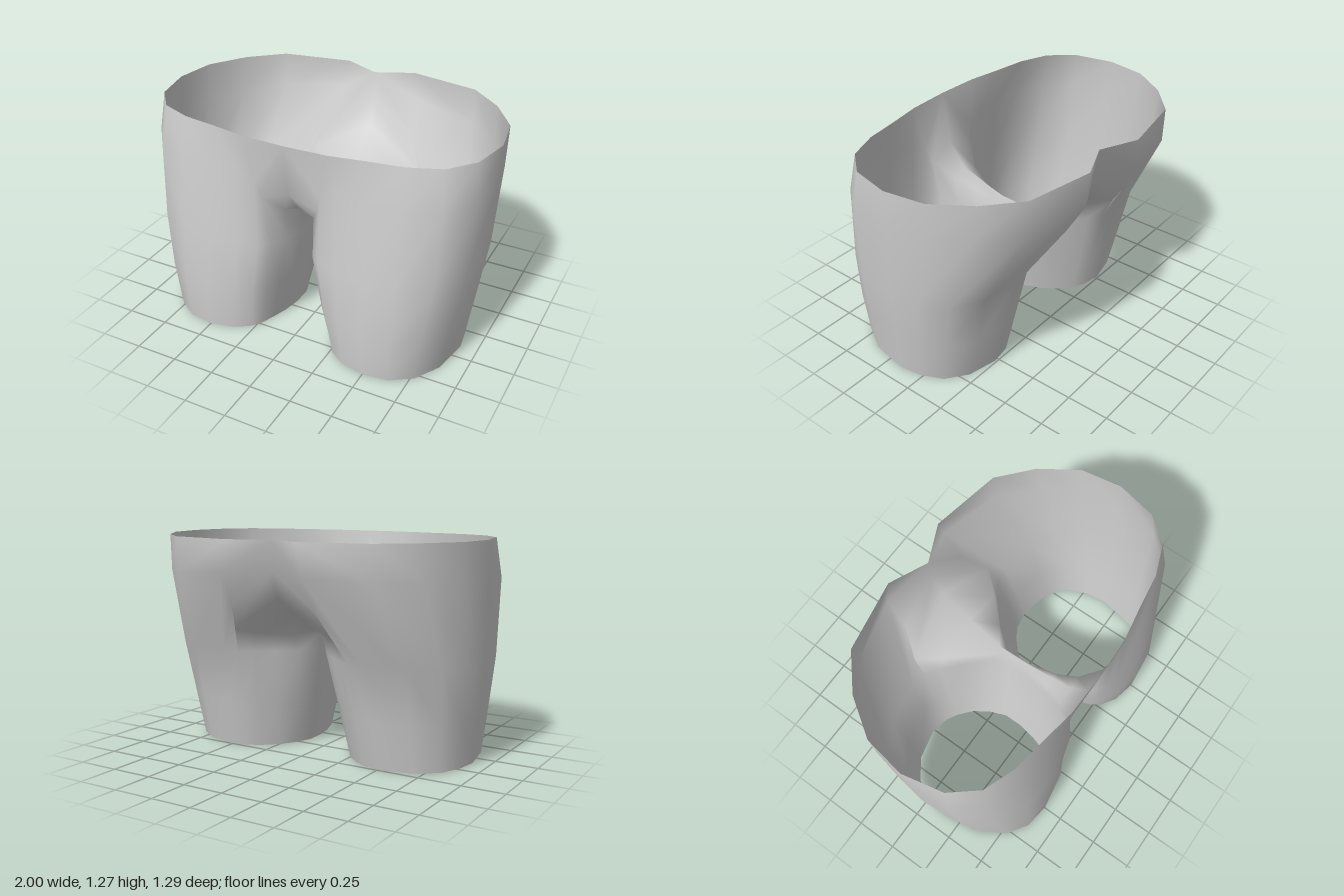
import * as THREE from 'three';
import { mergeVertices } from 'three/addons/utils/BufferGeometryUtils.js';

// Every ring runs front centre -> side -> back centre -> inner leg back to the front.
const WAIST = [[0, .575], [.25, .565], [.45, .53], [.65, .5], [.83, .43], [.95, .285], [1, .05],
  [.96, -.19], [.82, -.4], [.63, -.565], [.22, -.64], [0, -.54]];
// centre seam under the crotch, back to front: y, z
const SEAM = [[1.1, -.53], [.95, -.475], [.83, -.28], [.725, -.07], [.735, .13], [.78, .29], [.83, .43], [.96, .53]];
const HIP = [[.2, 1.0, .545], [.3, 1.05, .55], [.47, 1.05, .56], [.66, 1.05, .545], [.85, 1.05, .475],
  [.975, 1.05, .315], [.995, 1.05, .06], [.96, 1.05, -.165], [.835, 1.06, -.375], [.63, 1.07, -.56],
  [.26, 1.09, -.645], [.27, .9, -.535], [.36, .74, -.42], [.25, .71, -.29], [.12, .69, -.16],
  [.015, .69, -.03], [.02, .7, .14], [.045, .745, .3], [.09, .79, .42], [.17, .9, .52]];
const THIGH = [[.19, .565], [.3, .59], [.48, .61], [.66, .595], [.84, .51], [.95, .335], [.975, .1],
  [.95, -.08], [.87, -.23], [.7, -.335], [.47, -.365], [.37, -.35], [.29, -.3], [.19, -.215],
  [.09, -.12], [.025, .01], [.03, .16], [.05, .3], [.08, .41], [.13, .51]];
const HEM = [[.27, .54], [.36, .6], [.5, .63], [.65, .61], [.77, .53], [.86, .38], [.9, .15],
  [.88, .02], [.82, -.11], [.7, -.2], [.52, -.24], [.4, -.22], [.33, -.18], [.25, -.11],
  [.19, -.02], [.15, .08], [.15, .2], [.17, .31], [.2, .4], [.23, .48]];

// One line of points runs down the cloth from the waist or seam to the hem.
function column(i) {
  const top = i < WAIST.length
    ? new THREE.Vector3(WAIST[i][0], 1.272, WAIST[i][1])
    : new THREE.Vector3(0, ...SEAM[i - WAIST.length]);
  const thigh = new THREE.Vector3(THIGH[i][0], .6, THIGH[i][1]);
  const hem = new THREE.Vector3(HEM[i][0], 0, HEM[i][1]);
  const knee = thigh.clone().lerp(hem, .53);
  knee.z += Math.max(0, knee.z - .3) * .07;
  return [top, new THREE.Vector3(...HIP[i]), thigh, knee, hem];
}

function shortsGeometry() {
  const positions = [], index = [];
  const columns = HEM.map((_, i) => column(i));
  const n = columns.length, rows = columns[0].length;
  for (const side of [1, -1]) {
    const base = positions.length / 3;
    for (const col of columns) for (const p of col) positions.push(side * p.x, p.y, p.z);
    for (let i = 0; i < n; i++) for (let r = 0; r < rows - 1; r++) {
      const a = base + i * rows + r, b = base + ((i + 1) % n) * rows + r;
      if (side > 0) index.push(a, a + 1, b, b, a + 1, b + 1);
      else index.push(a, b, a + 1, b, b + 1, a + 1);
    }
  }
  const geometry = new THREE.BufferGeometry();
  geometry.setAttribute('position', new THREE.Float32BufferAttribute(positions, 3));
  geometry.setIndex(index);
  // weld the halves along the centre seam so the shading runs across it
  const welded = mergeVertices(geometry, 1e-4);
  welded.computeVertexNormals();
  return welded;
}

export function createModel() {
  const cloth = new THREE.MeshStandardMaterial({ color: 0xcccccc, side: THREE.DoubleSide });
  cloth.name = 'light grey cloth';
  const shorts = new THREE.Mesh(shortsGeometry(), cloth);
  shorts.name = 'shorts';
  const group = new THREE.Group();
  group.name = 'shortTrousers';
  group.add(shorts);
  return group;
}
